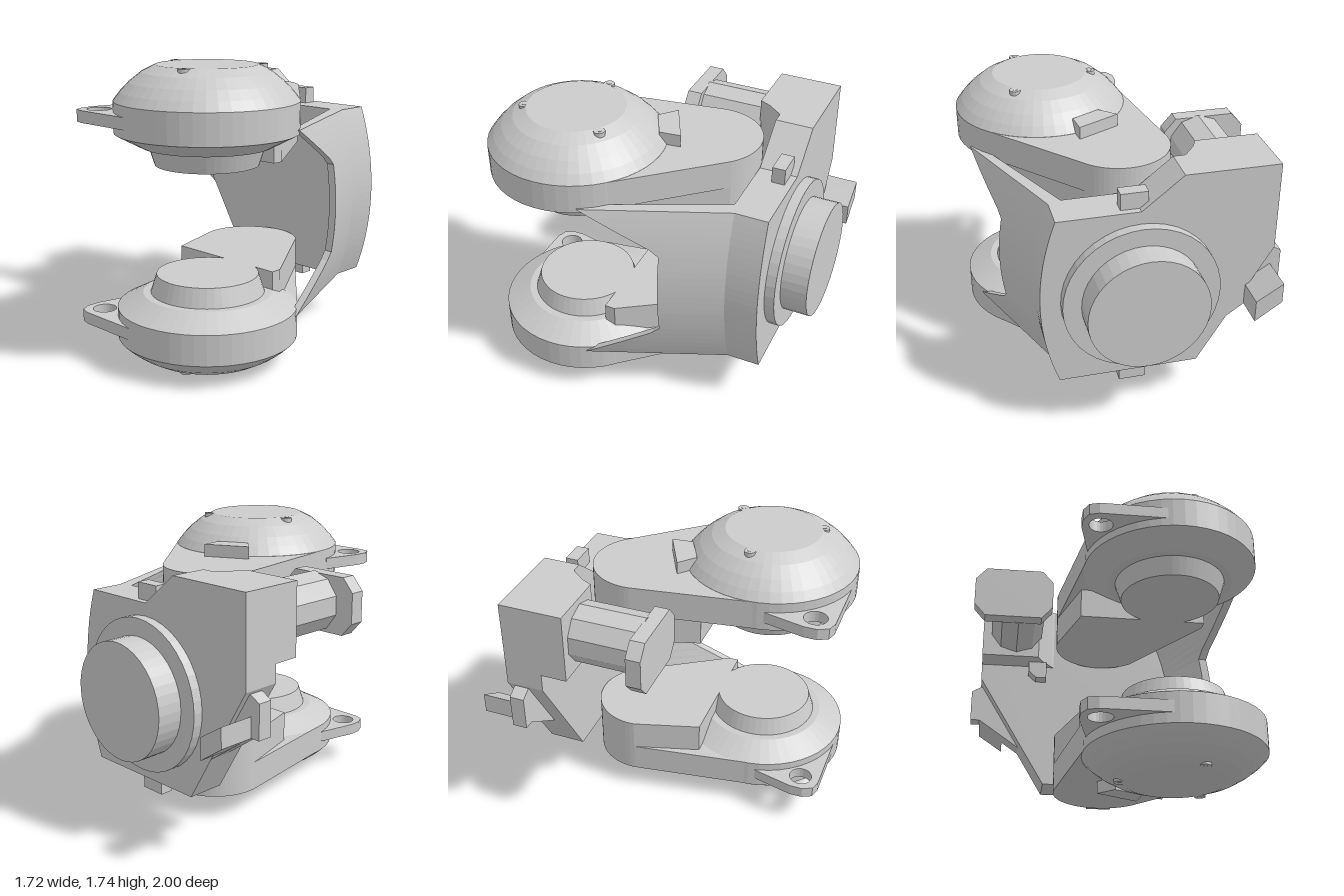
import * as THREE from 'three';

const V2 = (x, y) => new THREE.Vector2(x, y);
const mat = new THREE.MeshStandardMaterial({ color: 0xcccccc, flatShading: true });

function add(parent, name, geometry) {
  const mesh = new THREE.Mesh(geometry, mat);
  mesh.name = name;
  parent.add(mesh);
  return mesh;
}

// Front outline [x, y] extruded from z0 to z1
function slab(points, z0, z1) {
  const shape = new THREE.Shape(points.map(p => V2(p[0], p[1])));
  return new THREE.ExtrudeGeometry(shape, { depth: z1 - z0, bevelEnabled: false }).translate(0, 0, z0);
}

// Plan outline [x, z] extruded between two heights, with an optional round hole
function plan(points, ya, yb, hole) {
  const shape = new THREE.Shape(points.map(p => V2(p[0], -p[1])));
  if (hole) shape.holes.push(new THREE.Path().absarc(hole[0], -hole[1], hole[2], 0, Math.PI * 2, true));
  return new THREE.ExtrudeGeometry(shape, { depth: Math.abs(yb - ya), bevelEnabled: false, curveSegments: 12 })
    .rotateX(-Math.PI / 2).translate(0, Math.min(ya, yb), 0);
}

function box(x0, x1, y0, y1, z0, z1) {
  return new THREE.BoxGeometry(x1 - x0, y1 - y0, z1 - z0)
    .translate((x0 + x1) / 2, (y0 + y1) / 2, (z0 + z1) / 2);
}

// Convex outline around round bosses [x, z, r]
function hull(circles, n = 64) {
  const out = [];
  for (let i = 0; i < n; i++) {
    const t = (i / n) * Math.PI * 2, c = Math.cos(t), s = Math.sin(t);
    let best = circles[0], top = -Infinity;
    for (const k of circles) {
      const d = k[0] * c + k[1] * s + k[2];
      if (d > top) { top = d; best = k; }
    }
    out.push([best[0] + best[2] * c, best[1] + best[2] * s]);
  }
  return out;
}

// Bowed side wall: one thick cross-section per height, with forked front edge
function sideWall() {
  const mid = 0.8425, half = 0.5425, rows = 24, pos = [], idx = [];
  const thick = 0.05;
  for (let i = 0; i <= rows; i++) {
    const u = -1 + (2 * i) / rows, y = mid + half * u;
    const front = -0.22 + 0.45 * Math.max(0, (Math.abs(u) - 0.53) / 0.47);
    const x = z => 0.48 + Math.max(0, z + 0.58) * 0.41 + 0.1 * (1 - u * u);
    const zs = [-0.78, -0.58, front];
    for (const z of zs) pos.push(x(z), y, z);
    for (const z of [...zs].reverse()) pos.push(x(z) - thick - (z < -0.5 ? 0.04 : 0), y, z);
  }
  for (let i = 0; i < rows; i++) {
    for (let j = 0; j < 6; j++) {
      const a = i * 6 + j, b = i * 6 + ((j + 1) % 6);
      idx.push(a, a + 6, b, b, a + 6, b + 6);
    }
  }
  const e = rows * 6;
  for (const [a, b, c, d] of [[0, 1, 4, 5], [1, 2, 3, 4]]) {
    idx.push(a, b, c, a, c, d);
    idx.push(e + a, e + c, e + b, e + a, e + d, e + c);
  }
  const g = new THREE.BufferGeometry();
  g.setAttribute('position', new THREE.Float32BufferAttribute(pos, 3));
  g.setIndex(idx);
  g.computeVertexNormals();
  return g;
}

const CX = 0.33, CZ = 0.47;

function arm(upper) {
  const g = new THREE.Group();
  g.name = upper ? 'upperArm' : 'lowerArm';
  const Y = y => (upper ? y : 1.68 - y);
  const dome = upper ? 0.2 : 0.145;

  // Domed pod with tapered underside and neck
  const profile = [
    [0, 1.165], [0.3, 1.165], [0.335, 1.275], [0.38, 1.275], [0.53, 1.355], [0.53, 1.535],
    [0.49, 1.535 + dome * 0.26], [0.44, 1.535 + dome * 0.52], [0.37, 1.535 + dome * 0.8],
    [0.29, 1.535 + dome], [0, 1.535 + dome],
  ].map(p => V2(p[0], Y(p[1])));
  if (!upper) profile.reverse();
  add(g, 'pod', new THREE.LatheGeometry(profile, 48)).position.set(CX, 0, CZ);

  // Arm plate and the deeper block behind the neck
  const outline = hull([[0, -0.235, 0.31], [CX, CZ, 0.528]]);
  add(g, 'armPlate', plan(outline, Y(1.355), Y(1.534)));
  const block = outline.map(p => [Math.min(p[0], 0.6), Math.min(p[1], 0.2)])
    .filter((p, i, a) => {
      const q = a[(i + a.length - 1) % a.length];
      return Math.hypot(p[0] - q[0], p[1] - q[1]) > 1e-5;
    });
  add(g, 'armBlock', plan(block, Y(1.165), Y(1.356)));

  // Lug with a through hole
  const lug = [[-0.19, 0.58], [-0.25, 0.83], [-0.25, 0.91], [-0.22, 0.97], [-0.16, 0.99],
    [0.3, 0.99], [0.3, 0.6]];
  add(g, 'lug', plan(lug, Y(1.405), Y(1.475), [-0.14, 0.87, 0.07]));

  // Angled clip on the shoulder
  const clip = [[-0.06, 0], [0.2, -0.13], [0.215, 0], [0.04, 0.09]];
  add(g, 'clip', plan(clip, Y(1.5), Y(1.61)));

  // Three screws around the cap
  for (const [x, z] of [[0.52, 0.22], [0.02, 0.42], [0.44, 0.75]]) {
    const y = Y(1.535 + dome - 0.018);
    add(g, 'screw', new THREE.CylinderGeometry(0.034, 0.034, 0.034, 12)).position.set(x, y, z);
    const ring = add(g, 'screwSocket', new THREE.CylinderGeometry(0.015, 0.015, 0.004, 10));
    ring.position.set(x, y + (upper ? 0.017 : -0.017), z);
  }
  return g;
}

export function createModel() {
  const model = new THREE.Group();
  model.name = 'jointBracket';
  model.add(arm(true), arm(false));

  // Back plate with raised left shoulder and sloped corner
  add(model, 'backPlate', slab([
    [-0.36, 0.3], [0.48, 0.3], [0.53, 0.55], [0.545, 0.8425], [0.53, 1.135], [0.48, 1.385],
    [0, 1.385], [-0.24, 1.58], [-0.8, 1.58], [-0.8, 1.04],
  ], -0.78, -0.55));
  add(model, 'sideWall', sideWall());

  // Motor housing, scooped to clear the arm
  const housing = [[-0.8, -0.6], [-0.8, -0.39], [-0.42, -0.39], [-0.385, -0.46], [-0.32, -0.54], [-0.24, -0.6]];
  add(model, 'housing', plan(housing.slice().reverse(), 1.15, 1.58));
  add(model, 'housingStep', slab([[-0.48, 1.151], [-0.48, 1.08], [-0.43, 1.035], [-0.36, 1.035], [-0.36, 1.151]], -0.6, -0.47));

  // Motor barrel and eight-sided end plate
  add(model, 'motorBarrel', new THREE.CylinderGeometry(0.18, 0.18, 0.42, 10)
    .rotateX(Math.PI / 2).translate(-0.573, 1.36, -0.19));
  add(model, 'motorEndPlate', slab([
    [-0.86, 1.27], [-0.79, 1.19], [-0.43, 1.19], [-0.36, 1.27],
    [-0.36, 1.45], [-0.43, 1.53], [-0.79, 1.53], [-0.86, 1.45],
  ], 0.01, 0.1));

  // Stepped round flange on the back
  for (const [name, r, z0, z1] of [['flange', 0.463, -0.84, -0.77], ['flangeHub', 0.355, -1, -0.83]]) {
    add(model, name, new THREE.CylinderGeometry(r, r, z1 - z0, 40)
      .rotateX(Math.PI / 2).translate(0, 0.845, (z0 + z1) / 2));
  }

  // Small tabs above and below
  add(model, 'upperTab', box(-0.05, 0.11, 1.37, 1.485, -0.74, -0.66));
  add(model, 'lowerTab', box(-0.05, 0.11, 0.2, 0.31, -0.74, -0.66));

  // Side stop and rear peg by the slanted edge
  add(model, 'sideStop', slab([[-0.86, 0.775], [-0.62, 0.775], [-0.7, 1.02], [-0.8, 1.02], [-0.86, 0.985]], -0.74, -0.65));
  add(model, 'pegRoot', slab([[-0.8, 0.775], [-0.53, 0.585], [-0.62, 0.775]], -0.775, -0.65));
  add(model, 'rearPeg', slab([[-0.8, 0.775], [-0.64, 0.665], [-0.64, 0.8], [-0.8, 0.9]], -0.96, -0.7));

  return model;
}
